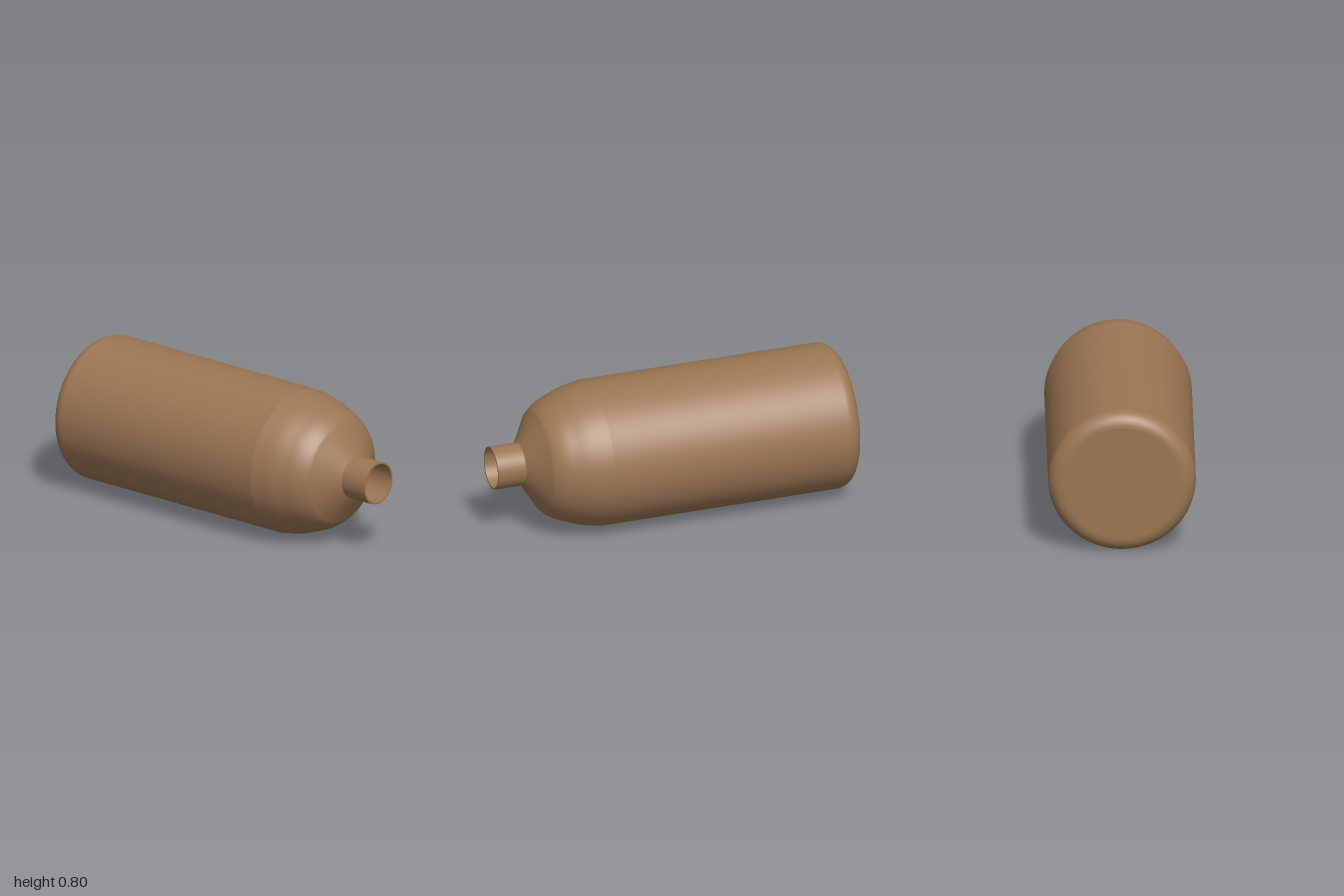
import * as THREE from 'three';

export function createModel() {
  const group = new THREE.Group();
  group.name = 'bottle';
  const material = new THREE.MeshStandardMaterial({ color: 0x9b7653 });
  const SIDES = 64, R = 0.4, CORNER = 0.08;
  const NECK_R = 0.118, BORE_R = 0.108, NECK_Z = 0.84, SHOULDER_Z = 0.43;

  const add = (name, geometry) => {
    const mesh = new THREE.Mesh(geometry, material);
    mesh.name = name;
    mesh.position.y = R;
    group.add(mesh);
    return mesh;
  };
  // Revolves [radius, z] points around the bottle's lying axis
  const revolve = (name, points) => add(name, new THREE.LatheGeometry(
    points.map(([r, z]) => new THREE.Vector2(r, z)), SIDES).rotateX(Math.PI / 2));

  // Flat base
  add('base', new THREE.CircleGeometry(R - CORNER, SIDES).rotateY(Math.PI)).position.z = -1;

  // Rounded base edge running into the straight barrel
  const barrel = [];
  for (let i = 0; i <= 8; i++) {
    const a = (i / 8) * Math.PI / 2;
    barrel.push([R - CORNER + CORNER * Math.sin(a), -1 + CORNER - CORNER * Math.cos(a)]);
  }
  barrel.push([R, SHOULDER_Z]);
  revolve('barrel', barrel);

  // Domed shoulder tapering to the neck
  const dome = new THREE.SplineCurve([
    [R, SHOULDER_Z], [0.378, 0.54], [0.352, 0.613], [0.326, 0.676],
    [0.288, 0.73], [0.25, 0.757], [NECK_R, NECK_Z],
  ].map(([r, z]) => new THREE.Vector2(r, z)));
  revolve('shoulder', dome.getPoints(24).map((p) => [p.x, p.y]));

  // Neck tube: outer wall, rim and bore
  revolve('neckWall', [[NECK_R, NECK_Z], [NECK_R, 1]]);
  add('neckRim', new THREE.RingGeometry(BORE_R, NECK_R, SIDES)).position.z = 1;
  revolve('neckBore', [[BORE_R, 1], [BORE_R, NECK_Z]]);
  add('boreFloor', new THREE.CircleGeometry(BORE_R, SIDES)).position.z = NECK_Z;

  return group;
}
